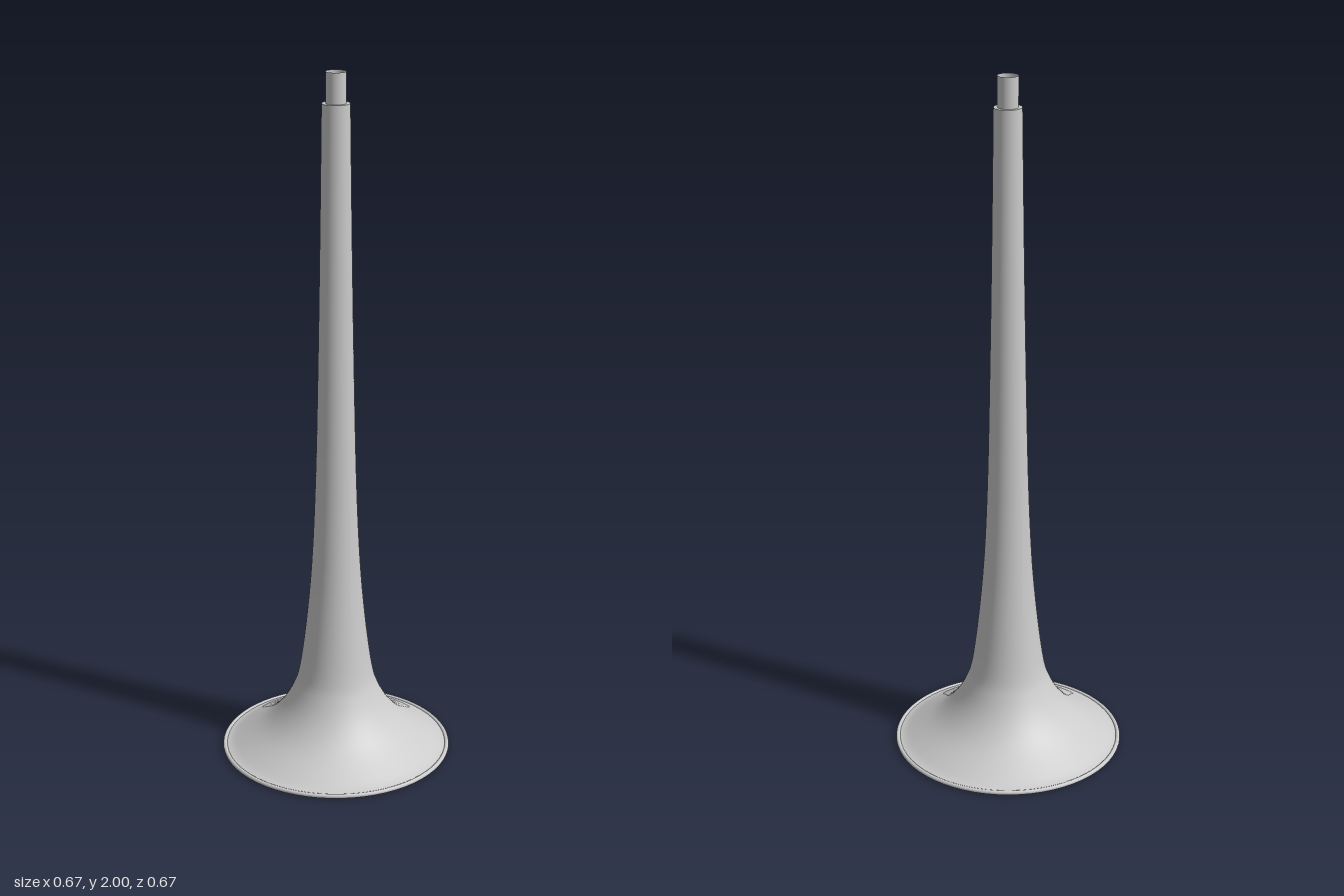
import * as THREE from 'three';

const SIDES = 64;

export function createModel() {
  const group = new THREE.Group();
  const metal = new THREE.MeshStandardMaterial({ color: 0xcccccc, side: THREE.DoubleSide });
  const add = (name, geometry, y = 0) => {
    const mesh = new THREE.Mesh(geometry, metal);
    mesh.name = name;
    mesh.position.y = y;
    group.add(mesh);
    return mesh;
  };

  // Thin flared horn, from the open mouth up to the shoulder
  const profile = [
    [0.328, 0.008], [0.296, 0.02], [0.217, 0.07], [0.164, 0.124], [0.127, 0.188],
    [0.106, 0.257], [0.085, 0.415], [0.069, 0.6], [0.058, 0.85], [0.05, 1.2],
    [0.044, 1.55], [0.039, 1.915],
  ].map(([r, y]) => new THREE.Vector2(r, y));
  const flare = new THREE.SplineCurve(profile).getPoints(66);
  add('hornBell', new THREE.LatheGeometry(flare, SIDES));

  // Rolled bead around the mouth
  const bead = add('mouthRim', new THREE.TorusGeometry(0.33, 0.0065, 12, SIDES), 0.0065);
  bead.rotation.x = -Math.PI / 2;

  // Flat shoulder and the narrow open tube on top
  const shoulder = add('shoulder', new THREE.RingGeometry(0.0285, 0.039, SIDES), 1.915);
  shoulder.rotation.x = -Math.PI / 2;
  add('endTube', new THREE.CylinderGeometry(0.0285, 0.0285, 0.085, SIDES, 1, true), 1.9575);

  return group;
}
